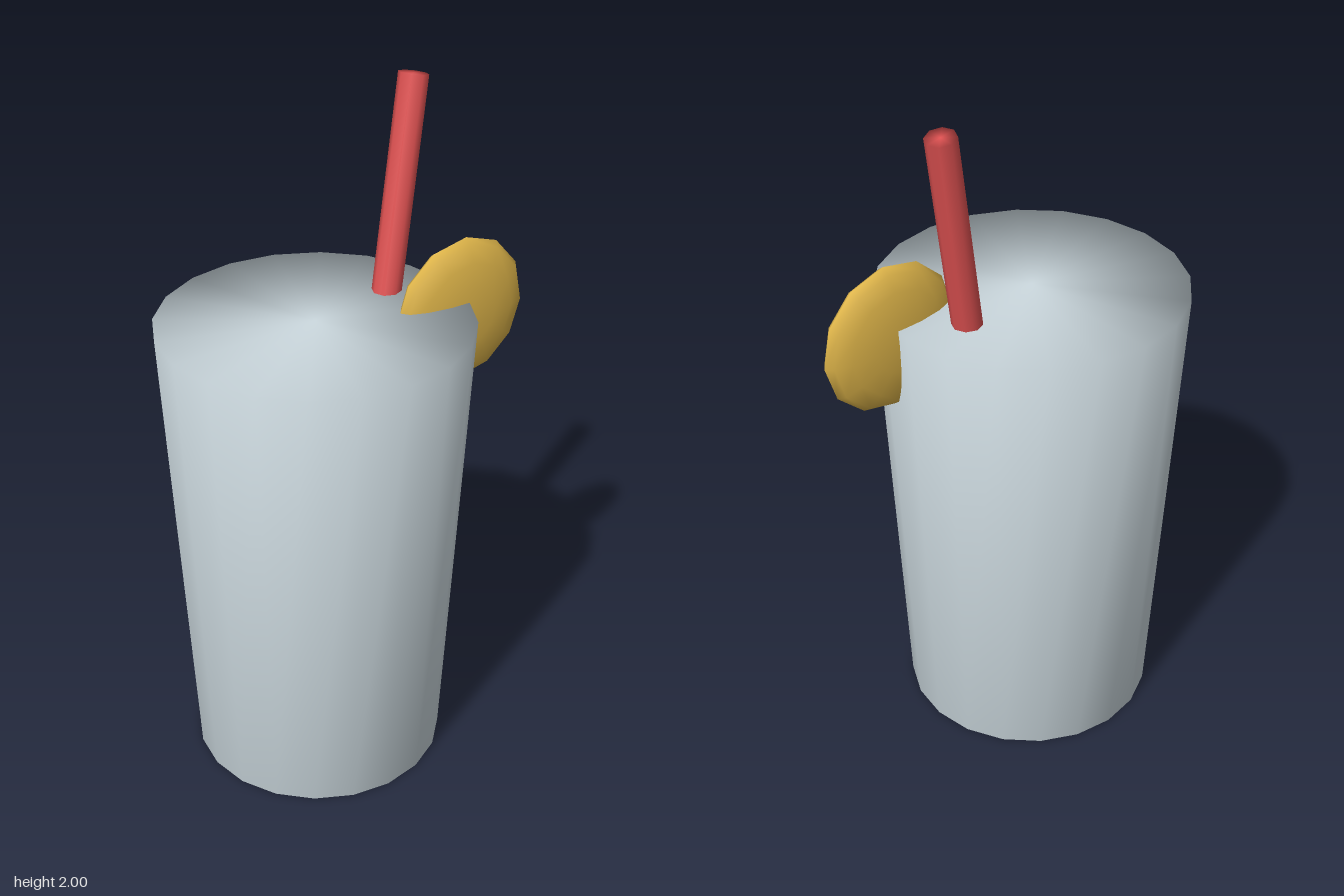
import * as THREE from 'three';
import { mergeVertices } from 'three/addons/utils/BufferGeometryUtils.js';

// Weld a geometry so that shading runs smoothly over its rims
function weld(geometry) {
  geometry.deleteAttribute('normal');
  geometry.deleteAttribute('uv');
  const welded = mergeVertices(geometry, 1e-4);
  welded.computeVertexNormals();
  return welded;
}

function material(name, color) {
  const m = new THREE.MeshStandardMaterial({ color });
  m.name = name;
  return m;
}

export function createModel() {
  const model = new THREE.Group();
  model.name = 'drink';

  const add = (name, geometry, mat) => {
    const mesh = new THREE.Mesh(geometry, mat);
    mesh.name = name;
    model.add(mesh);
    return mesh;
  };

  // Tapered, filled tumbler
  const height = 1.395;
  const glass = add('glass', weld(new THREE.CylinderGeometry(0.446, 0.372, height, 20)),
    material('pale glass', 0xcfdce2));
  glass.position.set(-0.1, height / 2, 0);

  // Straw leaning out of the drink
  const top = new THREE.Vector3(0.294, 1.992, -0.098);
  const foot = new THREE.Vector3(-0.06, 0.2, 0.055);
  const axis = top.clone().sub(foot);
  const straw = add('straw', weld(new THREE.CylinderGeometry(0.043, 0.043, axis.length(), 8)),
    material('straw red', 0xe05252));
  straw.position.copy(top).add(foot).multiplyScalar(0.5);
  straw.quaternion.setFromUnitVectors(new THREE.Vector3(0, 1, 0), axis.normalize());

  // Lens-shaped citrus slice on the rim
  const sliceShape = new THREE.SphereGeometry(0.22, 12, 8);
  sliceShape.rotateX(Math.PI / 2);
  sliceShape.rotateZ(-0.06);
  sliceShape.scale(1, 1, 0.262);
  const slice = add('citrusSlice', sliceShape, material('citrus yellow', 0xe0b64a));
  slice.position.set(0.326, 1.348, 0.099);

  return model;
}
